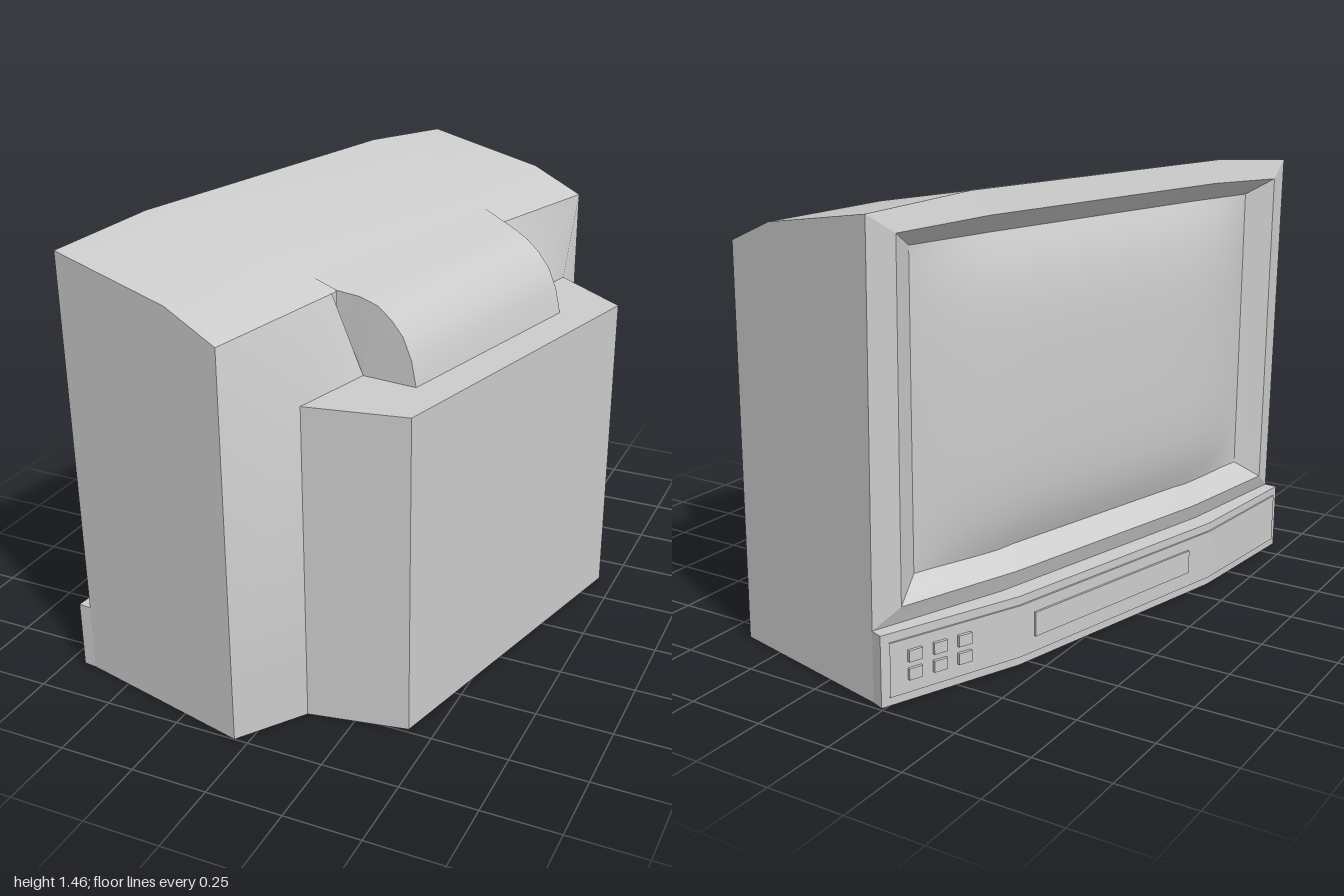
import * as THREE from 'three';
import { mergeGeometries, toCreasedNormals } from 'three/addons/utils/BufferGeometryUtils.js';

const grey = new THREE.MeshStandardMaterial({ color: 0xcccccc, side: THREE.DoubleSide });

function add(parent, name, geometry) {
  const mesh = new THREE.Mesh(geometry, grey);
  mesh.name = name;
  parent.add(mesh);
  return mesh;
}

// Skin over rows of [x, y, z] points
function skin(rows, crease = 0.5) {
  const pos = [];
  for (let i = 0; i < rows.length - 1; i++) {
    for (let j = 0; j < rows[i].length - 1; j++) {
      const a = rows[i][j], b = rows[i][j + 1], c = rows[i + 1][j + 1], d = rows[i + 1][j];
      pos.push(...a, ...b, ...c, ...a, ...c, ...d);
    }
  }
  const g = new THREE.BufferGeometry();
  g.setAttribute('position', new THREE.Float32BufferAttribute(pos, 3));
  return toCreasedNormals(g, crease);
}

// Symmetric plan line from the right half [x, z], running left to right
const mirrored = (half) => [...half.map(([x, z]) => [-x, z]).reverse(), ...half];
const atHeight = (plan, y) => plan.map(([x, z]) => [x, y, z]);

// Bowed front: flat in the middle, swept back to the sides, flatter towards the top
const bow = (x) => THREE.MathUtils.clamp((0.94 - Math.abs(x)) / 0.48, 0, 1);
const frontZ = (x, y) => {
  const t = (y - 0.226) / 1.2;
  return THREE.MathUtils.lerp(0.43, 0.441, t) + bow(x) * THREE.MathUtils.lerp(0.048, 0.015, t);
};

// Rectangular loop on the bowed front, with a crowned top edge
function frontLoop(w, y0, y1, crown, dz) {
  const pts = [];
  for (const t of [-1, -0.5, 0.5, 1]) pts.push([t * w, y0, frontZ(t * w, y0) + dz]);
  for (const t of [1, 0.6, -0.6, -1]) {
    const y = y1 + (Math.abs(t) < 1 ? crown : 0);
    pts.push([t * w, y, frontZ(t * w, y) + dz]);
  }
  pts.push(pts[0]);
  return pts;
}

export function createModel() {
  const model = new THREE.Group();
  const tv = new THREE.Group();
  tv.name = 'television';
  tv.rotation.y = THREE.MathUtils.degToRad(-103.9);
  tv.position.set(-0.009, 0, 0.04);
  model.add(tv);

  // Base walls with bowed front, ledge below the bezel, and underside
  const frontHalf = [[0.46, 0.545], [0.946, 0.473]];
  const baseHalf = [...frontHalf, [0.94, 0.43], [0.94, -0.195], [0.705, -0.287]];
  const rearHalf = [[0.573, -0.583], [0.705, -0.287]];
  const basePlan = mirrored(baseHalf);
  add(tv, 'base', skin([atHeight(basePlan, 0), atHeight(basePlan, 0.226)], 0.1));
  add(tv, 'ledge', skin([
    atHeight(mirrored(frontHalf), 0.226),
    [-0.94, -0.47, 0.47, 0.94].map((x) => [x, 0.226, frontZ(x, 0.226)]),
  ]));
  const footprint = mirrored([...baseHalf, rearHalf[0]]).map(([x, z]) => new THREE.Vector2(x, z));
  add(tv, 'underside', new THREE.ShapeGeometry(new THREE.Shape(footprint)).rotateX(Math.PI / 2));

  // Tube housing behind
  const rearPlan = mirrored(rearHalf).reverse();
  add(tv, 'rearHousing', skin([atHeight(rearPlan, 0), atHeight(rearPlan, 1.054)], 0.1));
  add(tv, 'rearHousingTop', skin([
    [[-0.705, 1.054, -0.287], [0.705, 1.054, -0.287]],
    [[-0.573, 1.054, -0.583], [0.573, 1.054, -0.583]],
  ]));

  // Crowned cabinet top
  const topRow = (mx, yEnd, yMid, z) => [[-0.94, yEnd], [-mx, yMid], [mx, yMid], [0.94, yEnd]]
    .map(([x, y]) => [x, y, z ?? frontZ(x, y)]);
  add(tv, 'top', skin([
    topRow(0.564, 1.43, 1.46),
    topRow(0.52, 1.36, 1.38, -0.005),
    topRow(0.45, 1.285, 1.3, -0.195),
  ]));

  // Rounded hump over the tube neck: half width, height, depth
  const hump = [[0.395, 1.054, -0.465], [0.394, 1.135, -0.446], [0.394, 1.2, -0.415], [0.396, 1.245, -0.372],
    [0.4, 1.278, -0.325], [0.412, 1.297, -0.27], [0.438, 1.309, -0.2], [0.45, 1.34, -0.1]];
  add(tv, 'hump', skin(hump.map(([w, y, z]) => [[w, y, z], [-w, y, z]]), 0.7));

  for (const s of [1, -1]) {
    const side = s > 0 ? 'left' : 'right';
    const ordered = (pts) => {
      const placed = pts.map(([x, y, z]) => [s * x, y, z]);
      return s > 0 ? placed : placed.reverse();
    };
    // Cabinet side
    add(tv, side + 'Side', skin([
      ordered([[0.94, 0.226, 0.43], [0.94, 0.226, -0.005], [0.94, 0.226, -0.195]]),
      ordered([[0.94, 1.43, 0.441], [0.94, 1.36, -0.005], [0.94, 1.285, -0.195]]),
    ]));
    // Angled rear corner blending into the sloped shoulder
    const corner = skin([
      ordered([[0.94, 0.226, -0.195], [0.705, 0.226, -0.287]]),
      ordered([[0.94, 1.285, -0.195], [0.705, 1.054, -0.287]]),
    ]);
    const shoulder = skin([
      ordered([[0.705, 1.054, -0.287], [0.42, 1.054, -0.287]]),
      ordered([[0.94, 1.285, -0.195], [0.45, 1.3, -0.195]]),
    ]);
    add(tv, side + 'RearShoulder', toCreasedNormals(mergeGeometries([corner, shoulder]), 0.7));
    // End cap of the hump
    const edge = hump.slice(0, 7).map(([w, y, z]) => [s * w, y, z]);
    const foot = edge.map(([, , z]) => [s * 0.42, 1.054, Math.max(z, -0.287)]);
    add(tv, side + 'HumpEnd', skin(s > 0 ? [edge, foot] : [foot, edge]));
  }

  // Bezel face rising to a lip, then a bevelled recess down to the screen
  add(tv, 'bezel', skin([
    frontLoop(0.94, 0.226, 1.43, 0.03, 0),
    frontLoop(0.855, 0.285, 1.372, 0.015, 0.022),
    frontLoop(0.765, 0.348, 1.322, 0.005, -0.035),
  ], 0.2));

  // Pillow-shaped screen
  const screen = new THREE.PlaneGeometry(1.54, 0.985, 24, 16);
  const p = screen.attributes.position;
  for (let i = 0; i < p.count; i++) {
    const x = p.getX(i), y = p.getY(i) + 0.836;
    const u = p.getX(i) / 0.77, v = p.getY(i) / 0.4925;
    p.setXYZ(i, x, y, frontZ(x, y) - 0.037 + 0.065 * (1 - u ** 4) * (1 - v ** 4));
  }
  screen.computeVertexNormals();
  add(tv, 'screen', screen);

  // Raised control strip along the base front
  const strip = (y, dz) => atHeight(mirrored([[0.46, 0.545 + dz], [0.92, 0.477 + dz]]), y);
  add(tv, 'controlStrip', skin([strip(0.028, 0), strip(0.028, 0.006), strip(0.198, 0.006), strip(0.198, 0)], 0.1));

  // Flap and buttons
  add(tv, 'flap', new THREE.BoxGeometry(0.74, 0.08, 0.02)).position.set(-0.03, 0.12, 0.548);
  for (let col = 0; col < 3; col++) {
    for (const y of [0.088, 0.145]) {
      const x = -0.838 + col * 0.086;
      const button = add(tv, 'button', new THREE.BoxGeometry(0.046, 0.036, 0.02));
      button.position.set(x, y, 0.483 + (0.92 + x) * 0.148);
      button.rotation.y = -0.147;
    }
  }
  return model;
}
